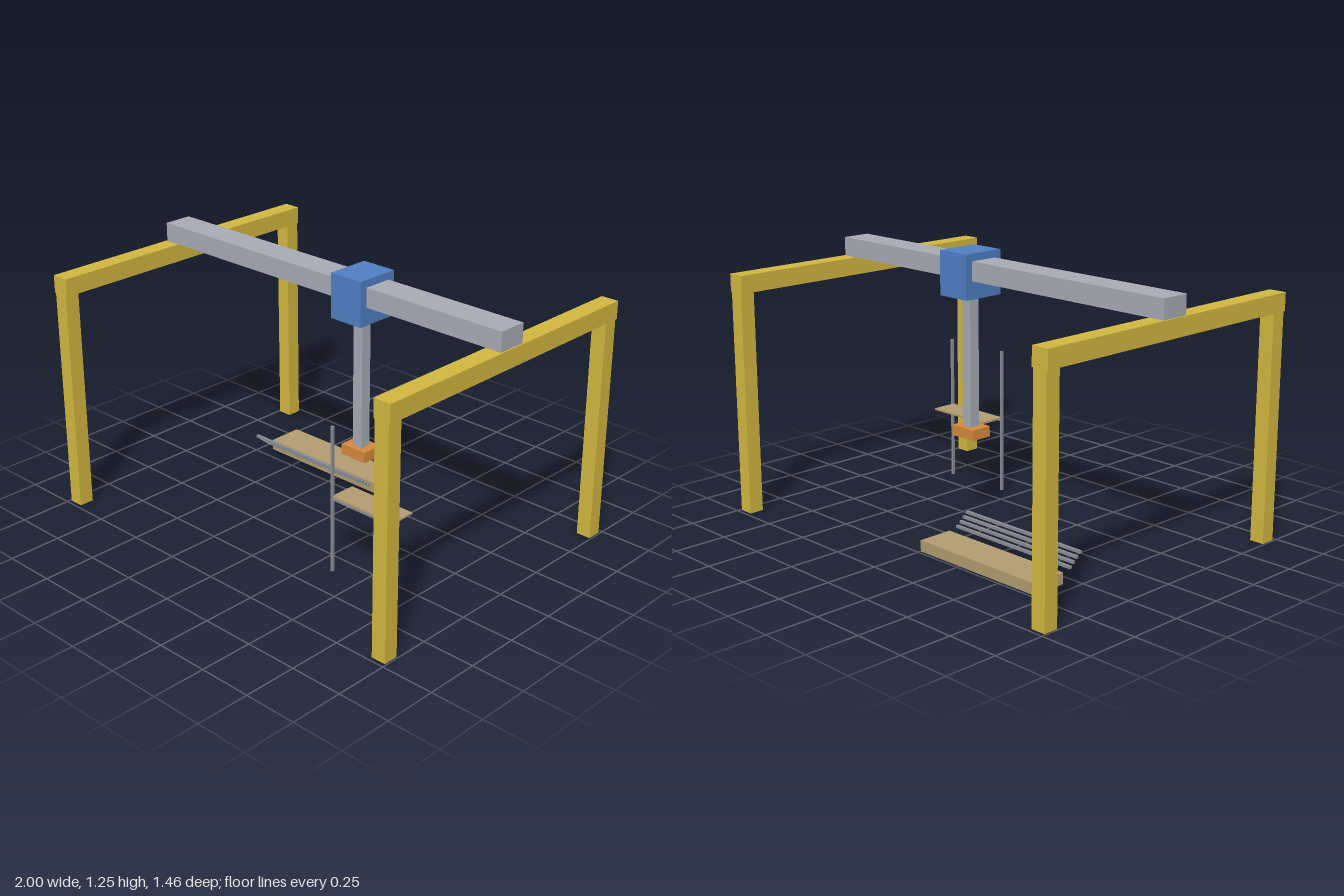
import * as THREE from 'three';

const mat = (color) => new THREE.MeshStandardMaterial({ color });
const yellow = mat(0xd4b840), steel = mat(0xa9acb6), blue = mat(0x5080c4);
const orange = mat(0xd88a3c), wood = mat(0xb39d72), grey = mat(0x8a8d94);

// Box given by its extents on each axis
function box(parent, name, material, [x0, x1], [y0, y1], [z0, z1]) {
  const mesh = new THREE.Mesh(new THREE.BoxGeometry(x1 - x0, y1 - y0, z1 - z0), material);
  mesh.position.set((x0 + x1) / 2, (y0 + y1) / 2, (z0 + z1) / 2);
  mesh.name = name;
  parent.add(mesh);
}

function group(parent, name) {
  const g = new THREE.Group();
  g.name = name;
  parent.add(g);
  return g;
}

export function createModel() {
  const model = new THREE.Group();
  model.name = 'gantryCell';

  // Two side frames: a runway rail on two legs
  for (const s of [-1, 1]) {
    const frame = group(model, s > 0 ? 'leftFrame' : 'rightFrame');
    const cx = s * 0.958;
    box(frame, 'runwayRail', yellow, [cx - 0.042, cx + 0.042], [1.047, 1.13], [-0.73, 0.73]);
    for (const t of [-1, 1]) {
      const cz = t * 0.695;
      box(frame, t > 0 ? 'frontLeg' : 'backLeg', yellow,
        [cx - 0.035, cx + 0.035], [0, 1.047], [cz - 0.035, cz + 0.035]);
    }
  }

  // Bridge beam with carriage, hoist column and gripper
  const bridge = group(model, 'bridge');
  box(bridge, 'bridgeBeam', steel, [-0.993, 0.993], [1.13, 1.219], [-0.069, 0.069]);
  box(bridge, 'carriage', blue, [0.105, 0.277], [1.047, 1.253], [-0.104, 0.104]);
  box(bridge, 'hoistColumn', steel, [0.165, 0.217], [0.435, 1.06], [-0.026, 0.026]);
  box(bridge, 'gripper', orange, [0.122, 0.26], [0.385, 0.435], [-0.053, 0.053]);

  // Low platform with a stepped row of bars
  const platform = group(model, 'platform');
  box(platform, 'platformBase', wood, [-0.695, 0], [0, 0.052], [-0.485, -0.313]);
  for (let i = 0; i < 4; i++) {
    const y = 0.113 - i * 0.0172, z = -0.206 - i * 0.0206;
    box(platform, 'bar', grey, [-0.695, 0], [y - 0.006, y + 0.006], [z - 0.007, z + 0.007]);
  }

  // Stand: two posts, a cross bar and a shelf
  const stand = group(model, 'stand');
  for (const x of [0.348, 0.696]) {
    box(stand, 'post', grey, [x - 0.006, x + 0.006], [0, 0.697], [0.344, 0.356]);
  }
  box(stand, 'crossBar', grey, [0.348, 0.696], [0.35, 0.36], [0.345, 0.355]);
  box(stand, 'shelf', wood, [0.348, 0.692], [0.36, 0.369], [0.228, 0.352]);

  return model;
}
